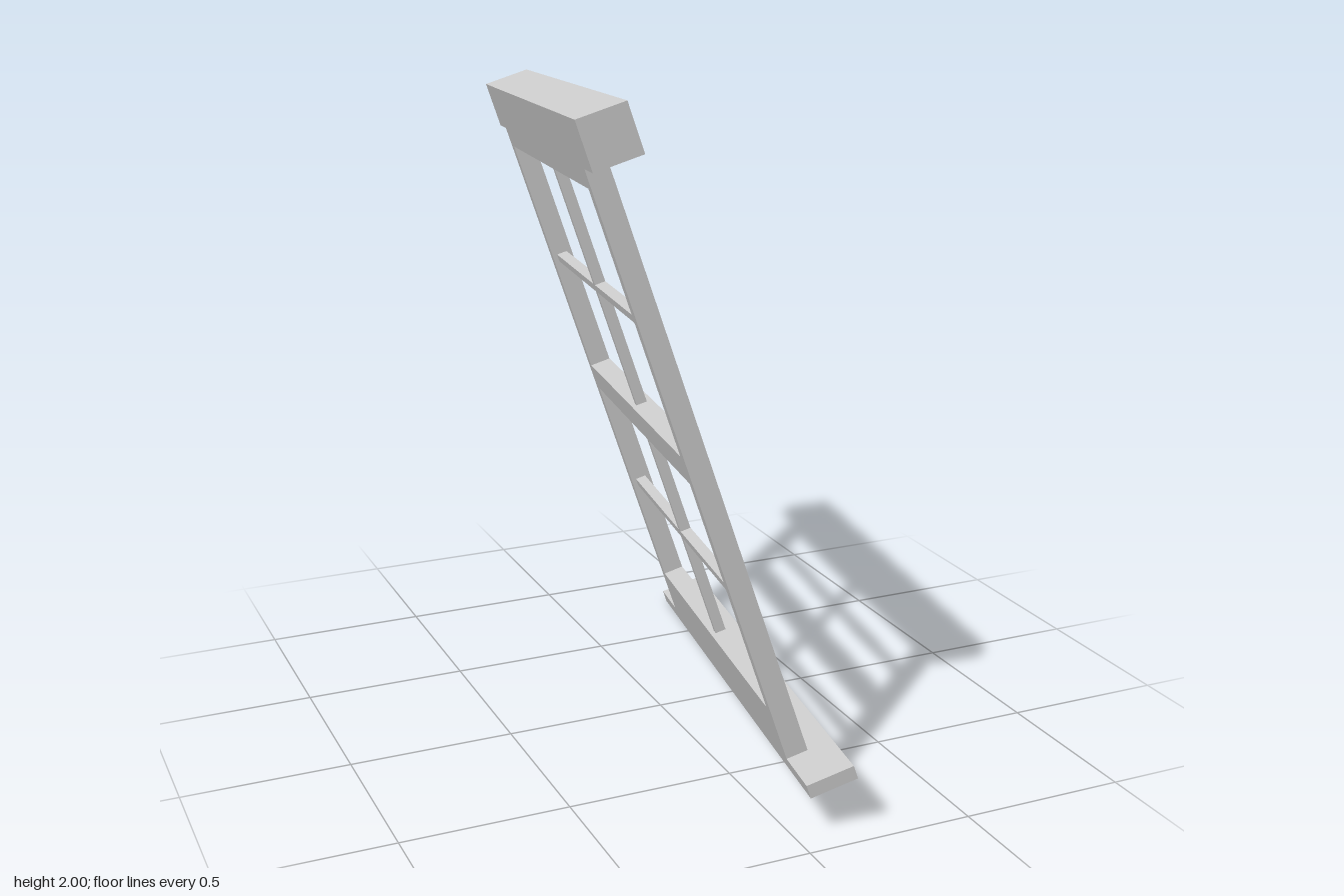
import * as THREE from 'three';

export function createModel() {
  const model = new THREE.Group();
  const frame = new THREE.Group();
  frame.name = 'windowFrame';
  model.add(frame);
  const material = new THREE.MeshStandardMaterial({ color: 0xcccccc, flatShading: true });

  // Tilted axes: x along the sill, y up the window, z through its thickness
  const along = new THREE.Vector3(0.1835, -0.0618, -0.981).normalize();
  const through = along.clone().cross(new THREE.Vector3(-0.29, 0.95, -0.117)).normalize();
  const up = through.clone().cross(along);
  frame.quaternion.setFromRotationMatrix(new THREE.Matrix4().makeBasis(along, up, through));

  // Box given by its limits on each axis
  function bar(name, [x0, x1], [y0, y1], [z0, z1]) {
    const mesh = new THREE.Mesh(new THREE.BoxGeometry(x1 - x0, y1 - y0, z1 - z0), material);
    mesh.position.set((x0 + x1) / 2, (y0 + y1) / 2, (z0 + z1) / 2);
    mesh.name = name;
    frame.add(mesh);
  }

  const mid = -0.028, half = 0.669, stile = 0.045;
  const deep = [0.223, 0.365], sash = [0.223, 0.288], thin = [0.238, 0.271];
  const inner = [mid - half + stile, mid + half - stile];

  // Lintel and sill
  bar('lintel', [-0.811, 0.759], [1.794, 1.936], deep);
  bar('sill', [-0.885, 0.827], [-0.013, 0.027], deep);

  // Stiles and rails
  bar('rightStile', [mid - half, inner[0]], [0.027, 1.735], sash);
  bar('leftStile', [inner[1], mid + half], [0.027, 1.735], sash);
  bar('topRail', [mid - half, mid + half], [1.735, 1.794], sash);
  bar('middleRail', inner, [0.881, 0.964], sash);
  bar('bottomRail', inner, [0.027, 0.178], sash);

  // Crossed glazing bars in each opening
  for (const [low, high] of [[0.178, 0.881], [0.964, 1.735]]) {
    const centre = (low + high) / 2 - 0.006;
    bar('horizontalGlazingBar', inner, [centre - 0.012, centre + 0.012], thin);
    bar('verticalGlazingBar', [mid - 0.013, mid + 0.013], [low, high], thin);
  }
  return model;
}
